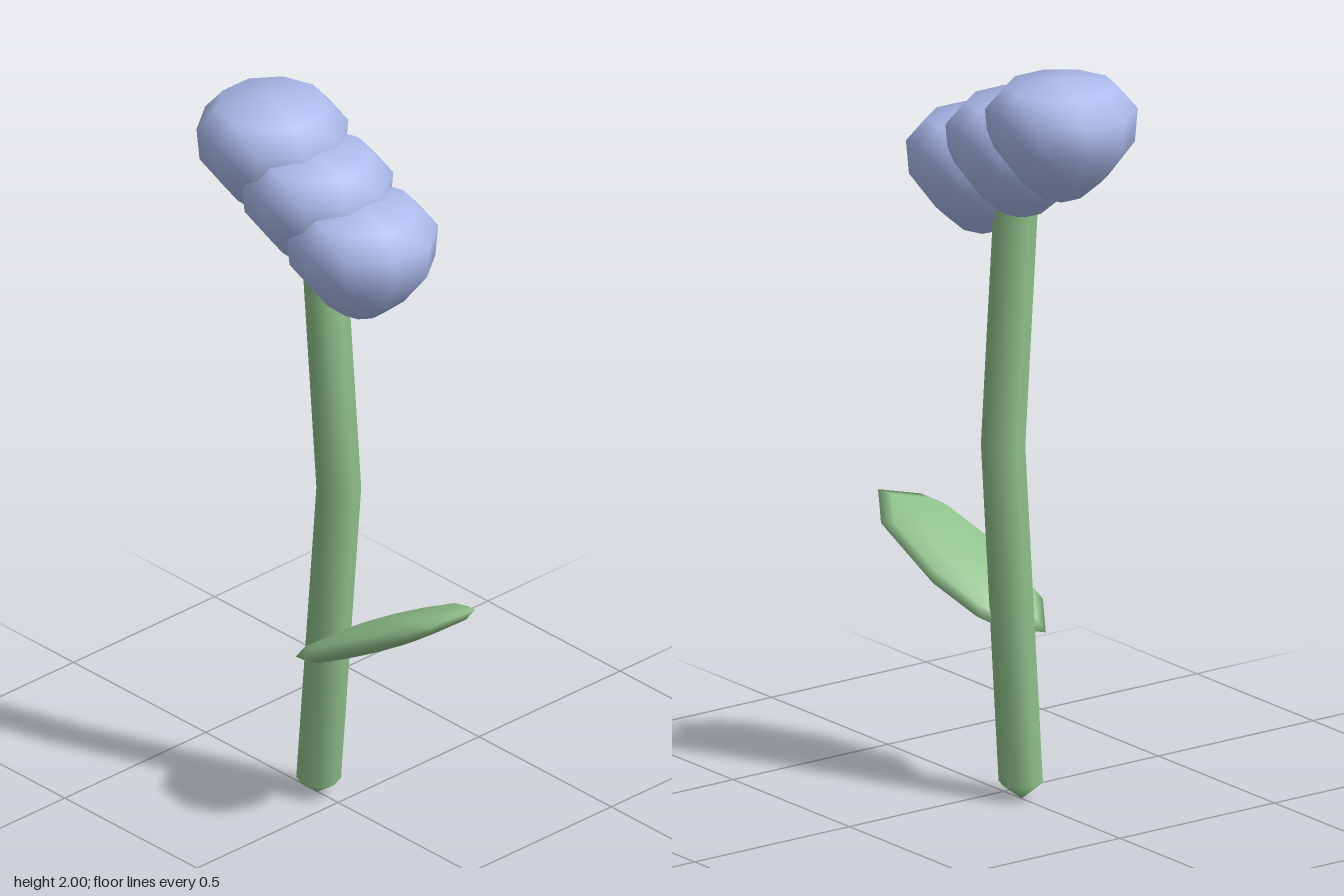
import * as THREE from 'three';
import { mergeVertices } from 'three/addons/utils/BufferGeometryUtils.js';

const green = new THREE.MeshStandardMaterial({ color: 0x8fc08a });
const blue = new THREE.MeshStandardMaterial({ color: 0xadbcee });

// Weld the seam and poles, then shade smoothly
function weld(geometry) {
  geometry.deleteAttribute('uv');
  geometry.deleteAttribute('normal');
  const welded = mergeVertices(geometry, 1e-4);
  welded.computeVertexNormals();
  return welded;
}

function lathe(profile, sides) {
  return new THREE.LatheGeometry(profile.map(([r, y]) => new THREE.Vector2(r, y)), sides);
}

function part(name, geometry, material) {
  const mesh = new THREE.Mesh(weld(geometry), material);
  mesh.name = name;
  return mesh;
}

// Stem: straight lathe, sheared sideways into a bend at mid height
function createStem() {
  const bend = 0.94;
  const geometry = lathe([[0, 0], [0.058, 0.045], [0.058, bend], [0.058, 1.66], [0, 1.7]], 8);
  const p = geometry.attributes.position;
  for (let i = 0; i < p.count; i++) {
    const y = p.getY(i);
    const shift = y < bend ? -0.08 * (1 - y / bend) : -0.082 * (y - bend);
    p.setX(i, p.getX(i) + shift + 0.003);
  }
  return part('stem', geometry, green);
}

// Leaf: flattened ball whose rings follow a point-symmetric outline
function createLeaf() {
  const half = [[-0.293, 0.08], [-0.182, 0.143], [0.04, 0.127], [0.2, 0.07], [0.247, 0.03]];
  const outline = [...half, ...half.map(([x, z]) => [-x, -z])];
  const n = outline.length;
  const geometry = new THREE.SphereGeometry(1, n, 6);
  const p = geometry.attributes.position;
  for (let i = 0; i < p.count; i++) {
    const y = p.getY(i);
    const r = Math.sqrt(Math.max(0, 1 - y * y));
    const [x, z] = outline[(i % (n + 1)) % n];
    p.setXYZ(i, x * r, y * 0.038, z * r);
  }
  const leaf = part('leaf', geometry, green);
  leaf.position.set(0.18, 0.58, 0);
  leaf.rotation.z = 0.517;
  return leaf;
}

export function createModel() {
  const group = new THREE.Group();
  group.name = 'flower';
  group.add(createStem(), createLeaf());

  // Three identical blooms stepping down to the side
  const bloom = [[0, 0], [0.06, 0.022], [0.122, 0.075], [0.19, 0.165], [0.198, 0.255], [0.145, 0.317], [0, 0.338]];
  [[-0.248, 1.662], [-0.078, 1.577], [0.092, 1.49]].forEach(([x, y], i) => {
    const mesh = part(`bloom${i + 1}`, lathe(bloom, 10), blue);
    mesh.position.set(x, y, 0);
    group.add(mesh);
  });
  return group;
}
